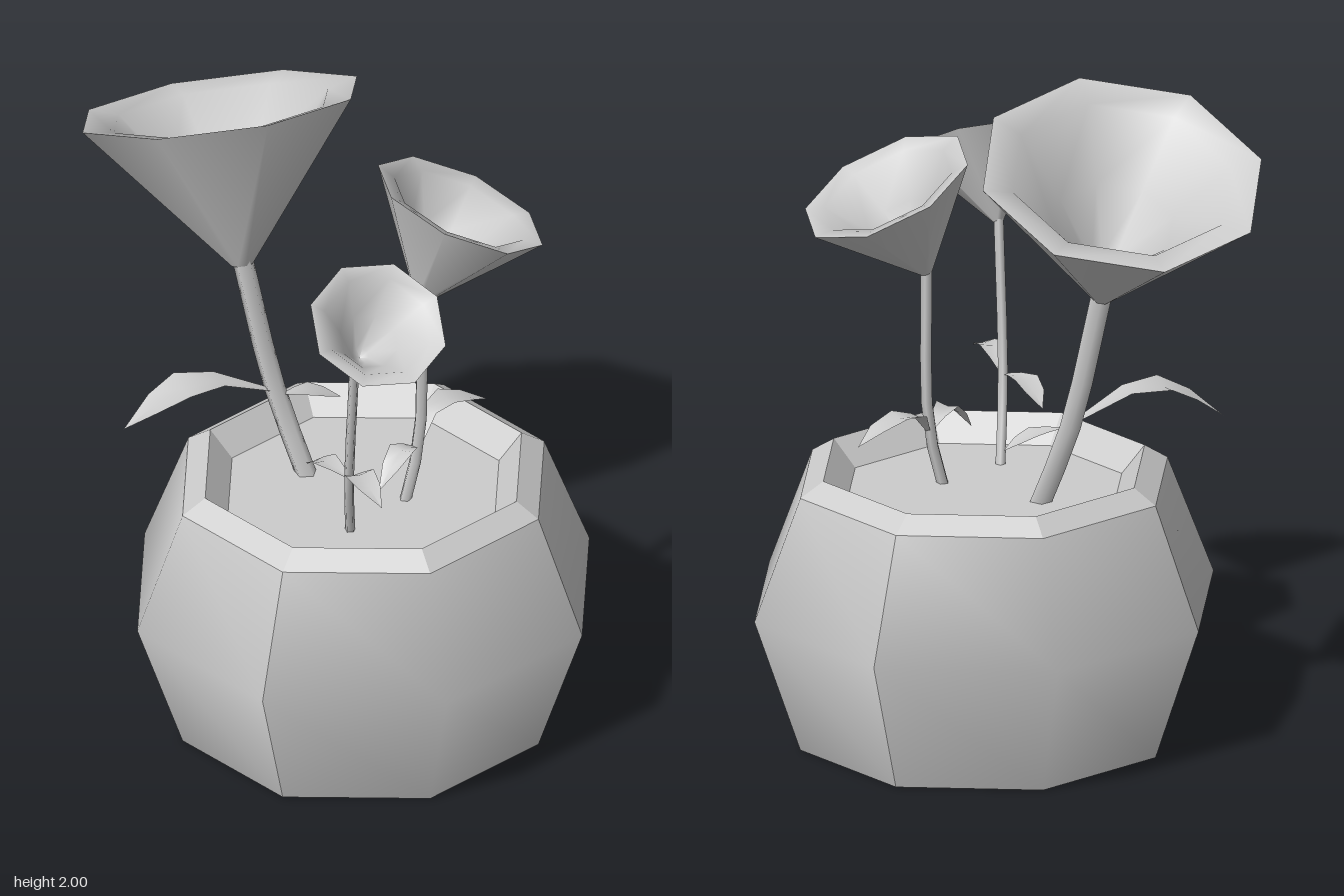
import * as THREE from 'three';

const V = (p) => new THREE.Vector3(...p);
const smooth = new THREE.MeshStandardMaterial({ color: 0xcccccc, side: THREE.DoubleSide });
const flat = new THREE.MeshStandardMaterial({ color: 0xcccccc, side: THREE.DoubleSide, flatShading: true });

function mesh(name, geometry, material) {
  const m = new THREE.Mesh(geometry, material);
  m.name = name;
  return m;
}

const profile = (pts) => pts.map(([r, y]) => new THREE.Vector2(r, y));

// Octagonal pot: four softly shaded panels, each bent once, plus rim, soil and base
function makePot() {
  const pot = new THREE.Group();
  pot.name = 'pot';
  for (let i = 0; i < 4; i++) {
    const g = new THREE.LatheGeometry(profile([[0.56, 0], [0.7, 0.41], [0.56, 0.775]]),
      2, Math.PI / 4 + i * Math.PI / 2, Math.PI / 2);
    g.computeVertexNormals();
    pot.add(mesh('potPanel', g, smooth));
  }
  pot.add(mesh('potRim', new THREE.LatheGeometry(
    profile([[0.56, 0.775], [0.49, 0.82], [0.42, 0.74]]), 8), flat));
  pot.add(mesh('soil', new THREE.LatheGeometry(profile([[0.42, 0.74], [0, 0.74]]), 8), flat));
  pot.add(mesh('potBase', new THREE.LatheGeometry(profile([[0, 0], [0.56, 0]]), 8), flat));
  pot.scale.z = 0.97;
  pot.position.z = 0.087;
  return pot;
}

// Loft of 8-sided rings from the stem top to a tilted rim.
// Each ring is [share of the way along the axis, radius].
function bloomSurface(base, rim, normal, twist, rings) {
  const turn = new THREE.Quaternion().setFromUnitVectors(new THREE.Vector3(0, 1, 0), normal);
  const pos = [], index = [];
  rings.forEach(([t, r], k) => {
    const c = base.clone().lerp(rim, t);
    for (let i = 0; i < 8; i++) {
      const a = twist + i * Math.PI / 4;
      const p = new THREE.Vector3(Math.sin(a) * r, 0, Math.cos(a) * r).applyQuaternion(turn).add(c);
      pos.push(p.x, p.y, p.z);
      if (k) {
        const j = (i + 1) % 8, lo = (k - 1) * 8, hi = k * 8;
        index.push(lo + i, lo + j, hi + j, lo + i, hi + j, hi + i);
      }
    }
  });
  const g = new THREE.BufferGeometry();
  g.setAttribute('position', new THREE.Float32BufferAttribute(pos, 3));
  g.setIndex(index);
  g.computeVertexNormals();
  return g;
}

// Trumpet bloom: outer cone, narrow lip, hollow throat
function makeBloom({ base, rim, normal, radius, twist, stemRadius }) {
  const bloom = new THREE.Group();
  bloom.name = 'bloom';
  const args = [V(base), V(rim), V(normal).normalize(), twist];
  const add = (name, rings) => bloom.add(mesh(name, bloomSurface(...args, rings), smooth));
  add('bloomOutside', [[0, stemRadius], [1, radius]]);
  add('bloomInside', [[1, radius], [0.96, radius * 0.78], [0.6, radius * 0.42],
    [0.25, radius * 0.12], [0.2, 0]]);
  return bloom;
}

// Thin bent stem
function makeStem(points, radius) {
  const curve = new THREE.CatmullRomCurve3(points.map(V));
  return mesh('stem', new THREE.TubeGeometry(curve, 5, radius, 5), smooth);
}

// Arching leaf: a ribbon with a slightly sunken midrib, widest in the middle
function makeLeaf(points, width) {
  const curve = new THREE.CatmullRomCurve3(points.map(V));
  const steps = 4, pos = [], index = [];
  const shares = [0.12, 0.6, 1, 0.75, 0];
  for (let i = 0; i <= steps; i++) {
    const p = curve.getPoint(i / steps), t = curve.getTangent(i / steps);
    const side = new THREE.Vector3(-t.z, 0, t.x).normalize();
    const w = shares[i] * width / 2;
    for (const s of [-1, 0, 1]) {
      pos.push(p.x + side.x * s * w, p.y + Math.abs(s) * w * 0.2, p.z + side.z * s * w);
    }
    if (i) {
      for (const k of [0, 1]) {
        const a = (i - 1) * 3 + k, b = i * 3 + k;
        index.push(a, a + 1, b + 1, a, b + 1, b);
      }
    }
  }
  const g = new THREE.BufferGeometry();
  g.setAttribute('position', new THREE.Float32BufferAttribute(pos, 3));
  g.setIndex(index);
  g.computeVertexNormals();
  return mesh('leaf', g, smooth);
}

const flowers = [
  {
    name: 'largeFlower', stemRadius: 0.032, radius: 0.425, twist: 0,
    stem: [[-0.12, 0.72, -0.05], [-0.19, 1.0, -0.14], [-0.265, 1.42, -0.2]],
    base: [-0.265, 1.4, -0.2], rim: [-0.265, 1.84, -0.385], normal: [0, 0.92, -0.385],
    leaves: [
      { width: 0.14, path: [[-0.19, 0.99, -0.13], [-0.42, 1.08, -0.12], [-0.54, 1.045, -0.12], [-0.66, 0.965, -0.13]] },
      { width: 0.08, path: [[-0.17, 0.98, -0.12], [-0.08, 0.97, -0.12], [0.01, 0.93, -0.12]] },
    ],
  },
  {
    name: 'mediumFlower', stemRadius: 0.018, radius: 0.265, twist: 0.2,
    stem: [[0.09, 0.72, 0.18], [0.14, 0.93, 0.17], [0.15, 1.42, 0.16]],
    base: [0.15, 1.4, 0.16], rim: [0.28, 1.685, 0.14], normal: [0.43, 0.9, 0],
    leaves: [
      { width: 0.08, path: [[0.14, 0.9, 0.17], [0.06, 0.95, 0.24], [-0.03, 0.86, 0.29]] },
      { width: 0.09, path: [[0.14, 0.9, 0.17], [0.21, 0.99, 0.1], [0.31, 0.975, 0.07], [0.4, 0.93, 0.04]] },
    ],
  },
  {
    name: 'smallFlower', stemRadius: 0.015, radius: 0.205, twist: 0.25,
    stem: [[-0.11, 0.72, 0.27], [-0.15, 0.97, 0.365], [-0.165, 1.43, 0.45]],
    base: [-0.165, 1.42, 0.45], rim: [-0.14, 1.63, 0.575], normal: [0, 0.83, 0.56],
    leaves: [
      { width: 0.08, path: [[-0.15, 0.98, 0.37], [-0.19, 0.99, 0.27], [-0.21, 0.93, 0.18]] },
      { width: 0.09, path: [[-0.15, 0.98, 0.37], [-0.15, 1.04, 0.45], [-0.13, 1.0, 0.58]] },
    ],
  },
];

export function createModel() {
  const model = new THREE.Group();
  model.name = 'pottedFlowers';
  model.add(makePot());
  for (const f of flowers) {
    const flower = new THREE.Group();
    flower.name = f.name;
    flower.add(makeStem(f.stem, f.stemRadius), makeBloom(f));
    for (const leaf of f.leaves) flower.add(makeLeaf(leaf.path, leaf.width));
    model.add(flower);
  }
  return model;
}
